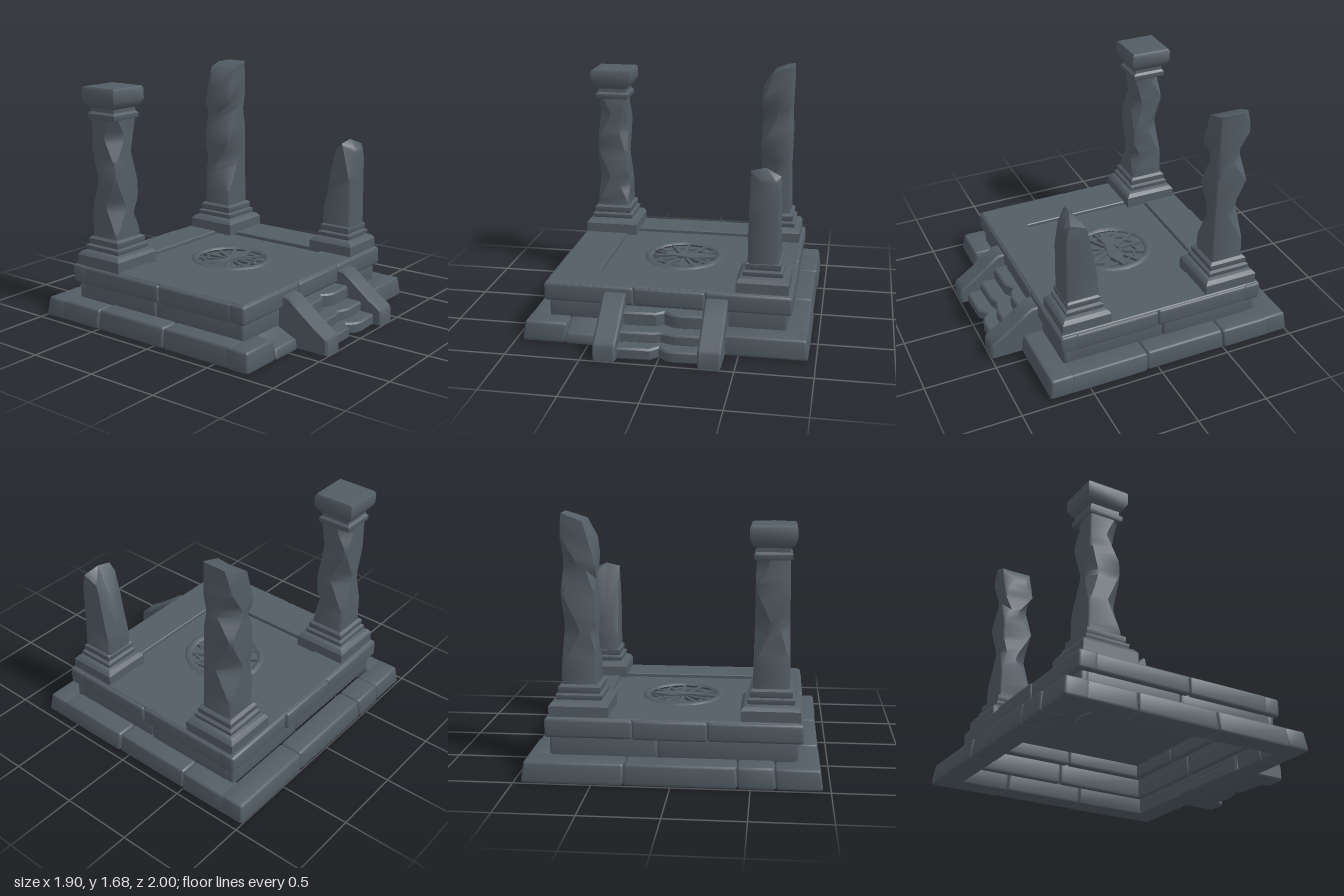
import * as THREE from 'three';
import { toCreasedNormals } from 'three/addons/utils/BufferGeometryUtils.js';
import { RoundedBoxGeometry } from 'three/addons/geometries/RoundedBoxGeometry.js';

const stone = new THREE.MeshStandardMaterial({ color: 0x535d65 });
stone.name = 'slate stone';

let seed = 7;
const jitter = (a) => {
  seed = (seed * 16807) % 2147483647;
  return (seed / 2147483647 - 0.5) * 2 * a;
};

function add(parent, name, geometry, crease = 0.6) {
  const mesh = new THREE.Mesh(toCreasedNormals(geometry, crease), stone);
  mesh.name = name;
  parent.add(mesh);
  return mesh;
}

// Worn stone block given by its limits
function block(x0, x1, y0, y1, z0, z1, r = 0.02) {
  const g = new RoundedBoxGeometry(x1 - x0, y1 - y0, z1 - z0, 2, r);
  return g.translate((x0 + x1) / 2, (y0 + y1) / 2, (z0 + z1) / 2);
}

// Flat outline in x and z, raised between two heights
function plan(shape, y0, y1, bevel = 0) {
  const g = new THREE.ExtrudeGeometry(shape, {
    depth: y1 - y0 - 2 * bevel, bevelEnabled: bevel > 0, bevelSize: bevel,
    bevelThickness: bevel, bevelOffset: -bevel, bevelSegments: 1, curveSegments: 24,
  });
  return g.rotateX(Math.PI / 2).translate(0, y1 - bevel, 0);
}
const points = (pts) => pts.map(([x, y]) => new THREE.Vector2(x, y));
const outline = (pts) => new THREE.Shape(points(pts));
const rectangle = (x, z0, z1) => [[-x, z0], [x, z0], [x, z1], [-x, z1]];

// Rectangular ring of blocks; o = outer limits [x0, x1, z0, z1], w = ring width
function courseRing(parent, name, o, w, y0, y1, cutsX, cutsZ, wear, taper = 1, erode = (x, y) => y) {
  const [x0, x1, z0, z1] = o;
  const put = (...b) => {
    const g = block(...b);
    const p = g.attributes.position;
    for (let i = 0; i < p.count; i++) {
      if (p.getY(i) < (y0 + y1) / 2) continue;
      p.setY(i, erode(p.getX(i), p.getY(i), p.getZ(i)));
      p.setX(i, p.getX(i) * taper);
      p.setZ(i, (p.getZ(i) - (z0 + z1) / 2) * taper + (z0 + z1) / 2);
    }
    add(parent, name, g);
  };
  for (let i = 0; i + 1 < cutsX.length; i++) {
    const [a, b] = [cutsX[i], cutsX[i + 1]];
    put(a, b, y0, y1 + jitter(wear / 2), z0 + jitter(wear), z0 + w);
    put(a, b, y0, y1 + jitter(wear / 2), z1 - w, z1 + jitter(wear));
  }
  for (let i = 0; i + 1 < cutsZ.length; i++) {
    const [a, b] = [cutsZ[i], cutsZ[i + 1]];
    put(x0 + jitter(wear), x0 + w, y0, y1 + jitter(wear / 2), a, b);
    put(x1 - w, x1 + jitter(wear), y0, y1 + jitter(wear / 2), a, b);
  }
}

// Square moulding from a profile of [half width, height]
function moulding(profile) {
  const pts = profile.map(([h, y]) => new THREE.Vector2(h * Math.SQRT2, y));
  return new THREE.LatheGeometry(pts, 4).rotateY(Math.PI / 4);
}

// Square shaft whose corners are hacked away: chips are [corner, height, reach, depth]
// Corners: 0 (+x+z), 1 (-x+z), 2 (-x-z), 3 (+x-z); top gives the broken upper face
function shaft(hx, hz, y0, y1, chips, top, taper, apexZ = 0) {
  const levels = 22, pos = [], idx = [];
  const signs = [[1, 1], [-1, 1], [-1, -1], [1, -1]];
  for (let l = 0; l <= levels; l++) {
    const t = l / levels, y = y0 + t * (y1 - y0);
    const k = 1 + (taper - 1) * t;
    signs.forEach(([sx, sz], c) => {
      let cut = 0.012;
      for (const [cc, cy, reach, depth] of chips)
        if (cc === c) cut = Math.max(cut, depth * (1 - Math.abs(y - cy) / reach));
      const pair = [[hx, hz - cut], [hx - cut, hz]];
      if (c % 2) pair.reverse();
      for (const [px, pz] of pair) {
        const x = px * sx * k, z = pz * sz * k;
        pos.push(x, y0 + t * (top(x, z) - y0), z);
      }
    });
  }
  for (let l = 0; l < levels; l++)
    for (let j = 0; j < 8; j++) {
      const a = l * 8 + j, b = l * 8 + (j + 1) % 8;
      idx.push(a, a + 8, b, b, a + 8, b + 8);
    }
  pos.push(0, top(0, apexZ), apexZ);
  for (let j = 0; j < 8; j++)
    idx.push((levels + 1) * 8, levels * 8 + (j + 1) % 8, levels * 8 + j);
  const g = new THREE.BufferGeometry();
  g.setAttribute('position', new THREE.Float32BufferAttribute(pos, 3));
  g.setIndex(idx);
  g.computeVertexNormals();
  return g;
}

function column(parent, name, x, z, h, shaftGeometry) {
  const g = new THREE.Group();
  g.name = name;
  g.position.set(x, 0, z);
  add(g, 'columnPedestal', moulding([
    [0, 0.37], [h, 0.37], [h, 0.45], [h - 0.02, 0.475], [h - 0.045, 0.485], [h - 0.04, 0.5],
    [h - 0.04, 0.515], [h - 0.06, 0.525], [h - 0.055, 0.54], [h - 0.055, 0.565], [h - 0.075, 0.58], [0, 0.58],
  ]));
  add(g, 'columnShaft', shaftGeometry, 0.8);
  parent.add(g);
  return g;
}

export function createModel() {
  const model = new THREE.Group();
  model.name = 'ruinedShrine';

  // Hollow stepped platform, with one crumbled stone left of the stairs
  courseRing(model, 'baseStone', [-0.95, 0.95, -1, 0.78], 0.17, 0, 0.14,
    [-0.95, -0.66, -0.42, 0.3, 0.95], [-0.86, -0.5, 0.08, 0.64], 0.007, 0.985,
    (x, y, z) => (z > 0.7 && x > -0.661 && x < -0.419 ? y * 0.55 : y));
  courseRing(model, 'riserStone', [-0.8, 0.8, -0.81, 0.63], 0.06, 0.11, 0.27,
    [-0.8, 0.1, 0.8], [-0.77, -0.1, 0.6], 0.004);
  courseRing(model, 'terraceStone', [-0.83, 0.83, -0.84, 0.66], 0.13, 0.25, 0.377,
    [-0.83, -0.22, 0.26, 0.83], [-0.73, -0.05, 0.55], 0.007);
  const paving = outline(rectangle(0.812, -0.822, 0.642));
  paving.holes.push(new THREE.Path(points(rectangle(0.505, -0.565, 0.375))));
  add(model, 'terracePaving', plan(paving, 0.345, 0.382, 0.006));

  // Sunken floor with a round opening
  const floor = outline(rectangle(0.54, -0.6, 0.41));
  floor.holes.push(new THREE.Path().absarc(0, -0.08, 0.255, 0, Math.PI * 2, true));
  add(model, 'floor', plan(floor, 0.338, 0.355));

  // Round carved grate
  const grate = new THREE.Group();
  grate.name = 'roundGrate';
  grate.position.set(0, 0.352, -0.08);
  model.add(grate);
  add(grate, 'grateBowl', new THREE.CylinderGeometry(0.28, 0.28, 0.012, 32).translate(0, -0.028, 0));
  add(grate, 'grateRim', new THREE.TorusGeometry(0.258, 0.026, 6, 16).rotateX(Math.PI / 2).scale(1, 0.7, 1.05), 0.9);
  for (let i = 0; i < 12; i++) {
    const a = (i / 12) * Math.PI * 2;
    const spoke = new THREE.BoxGeometry(0.19, 0.022, 0.022).rotateZ(jitter(0.05)).translate(0.15, -0.01, 0);
    add(grate, 'grateSpoke', spoke.rotateY(a + jitter(0.08)));
    const tie = new THREE.BoxGeometry(0.018, 0.02, 0.09).rotateY(0.5).translate(0.18, -0.013, 0);
    add(grate, 'grateTie', tie.rotateY(a + 0.26));
  }
  // Leaf shaped bar across the grate
  add(grate, 'grateBar', plan(outline([
    [-0.23, -0.06], [-0.05, -0.02], [0.08, -0.05], [0.24, 0.0], [0.08, 0.06], [-0.06, 0.025], [-0.22, 0.05], [-0.12, 0],
  ]), -0.02, 0.01));

  // Entrance stairs between sloping cheeks
  const cheek = outline([[0.6, 0], [1, 0], [1, 0.1], [0.985, 0.125], [0.9, 0.18], [0.79, 0.265], [0.7, 0.335], [0.6, 0.345]]);
  for (const right of [-0.265, 0.415]) {
    const g = new THREE.ExtrudeGeometry(cheek, {
      depth: 0.126, bevelSize: 0.012, bevelOffset: -0.012, bevelThickness: 0.012, bevelSegments: 1,
    });
    add(model, 'stairCheek', g.rotateY(-Math.PI / 2).translate(right - 0.012, 0, 0));
  }
  const tread = (z, notch) => outline([
    [-0.29, 0.6], [0.29, 0.6], [0.29, z - 0.01], [0.1, z], [0.045, z - 0.015], [0, z - notch], [-0.05, z - 0.01], [-0.29, z],
  ]);
  [[0.95, 0.06, 0, 0.08], [0.85, 0.03, 0.07, 0.15], [0.74, 0.05, 0.14, 0.24]].forEach(([z, notch, y0, y1]) =>
    add(model, 'stairTread', plan(tread(z, notch), y0, y1, 0.012)));

  // Back left column, complete with capital
  const whole = column(model, 'backLeftColumn', -0.62, -0.61, 0.192, shaft(0.118, 0.118, 0.57, 1.43, [
    [1, 0.8, 0.22, 0.1], [1, 1.28, 0.2, 0.11], [3, 0.98, 0.25, 0.12], [3, 1.38, 0.15, 0.1],
    [0, 0.74, 0.14, 0.07], [0, 1.18, 0.25, 0.07], [2, 0.98, 0.25, 0.07],
  ], () => 1.43, 0.9));
  add(whole, 'columnCapital', moulding([
    [0, 1.4], [0.115, 1.4], [0.12, 1.41], [0.12, 1.435], [0.105, 1.45], [0.105, 1.475],
    [0.125, 1.49], [0.147, 1.53], [0.147, 1.6], [0.138, 1.618], [0, 1.637],
  ]));

  // Back right column, broken and deeply hacked on two corners
  column(model, 'backRightColumn', 0.612, -0.61, 0.192, shaft(0.115, 0.115, 0.57, 1.66, [
    [1, 0.93, 0.25, 0.13], [3, 0.93, 0.25, 0.13], [1, 1.34, 0.19, 0.13], [3, 1.34, 0.19, 0.13],
    [1, 1.75, 0.24, 0.13], [3, 1.75, 0.2, 0.1], [0, 1.3, 0.16, 0.04], [2, 0.95, 0.16, 0.04],
    [2, 1.36, 0.12, 0.06], [2, 1.75, 0.26, 0.12],
  ], (x) => 1.65 + Math.min(0.25 * x, 1.4 * (x + 0.02)), 0.96));

  // Front right stump, split to a point
  column(model, 'frontRightStump', 0.63, 0.458, 0.172, shaft(0.102, 0.114, 0.56, 1.17, [
    [1, 1.22, 0.3, 0.09], [3, 1.2, 0.35, 0.09], [2, 1.2, 0.4, 0.11], [0, 1.2, 0.15, 0.04],
  ], (x, z) => 1.2 - Math.abs(z - 0.045) - 3.5 * Math.max(0, -0.05 - z) - 0.15 * Math.abs(x - 0.02), 0.97, 0.045));

  return model;
}
